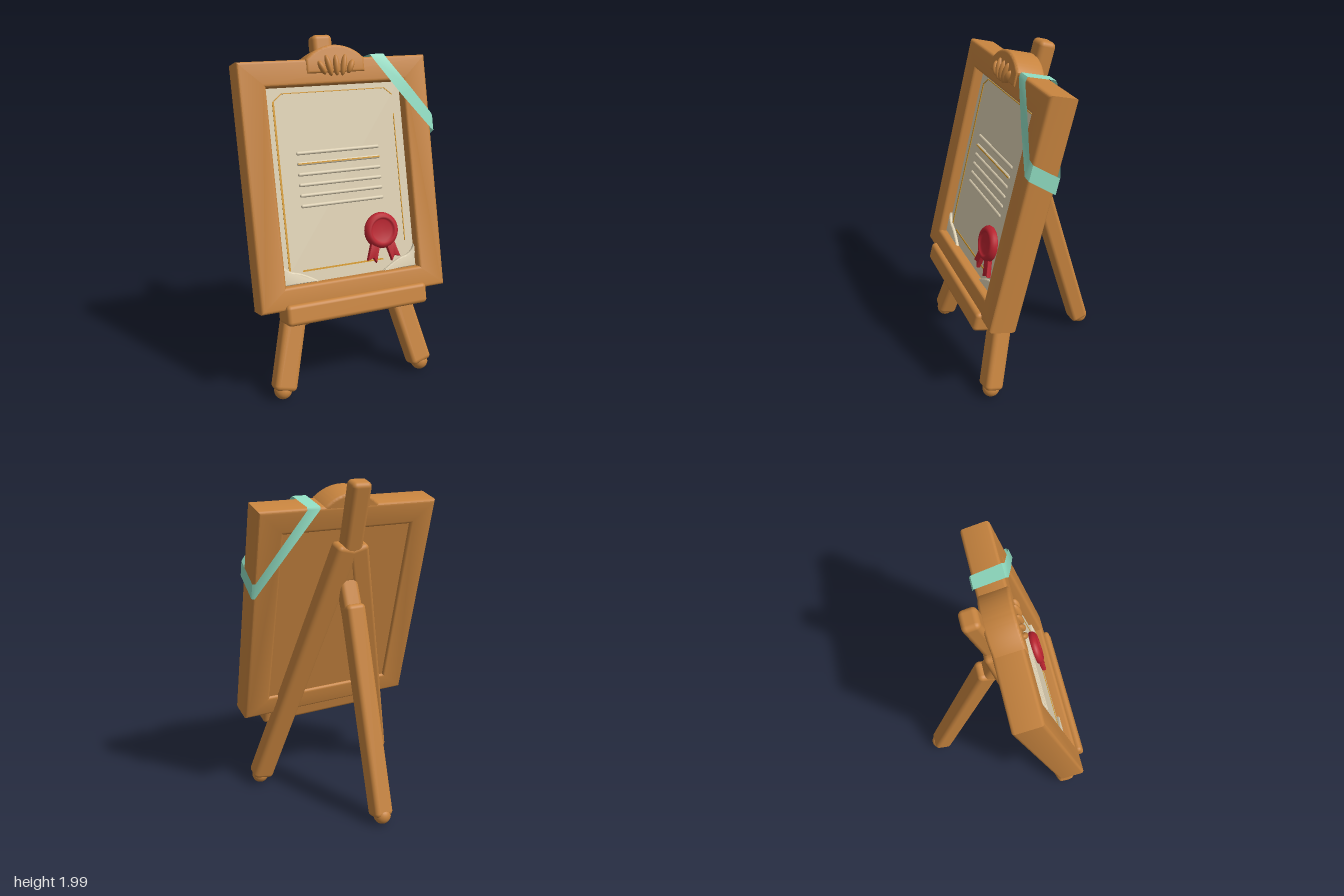
import * as THREE from 'three';
import { toCreasedNormals } from 'three/addons/utils/BufferGeometryUtils.js';
import { RoundedBoxGeometry } from 'three/addons/geometries/RoundedBoxGeometry.js';

const material = (name, color, side = THREE.FrontSide) => {
  const m = new THREE.MeshStandardMaterial({ color, side });
  m.name = name;
  return m;
};

export function createModel() {
  const wood = material('wood', 0xc6833e);
  const paper = material('paper', 0xdbceb1);
  const gold = material('gold', 0xd59a2c);
  const red = material('sealRed', 0xb9232f);
  const mint = material('ribbonMint', 0x8fdbc0, THREE.DoubleSide);

  const model = new THREE.Group();
  model.name = 'certificateEasel';
  const CX = -0.008;

  const add = (parent, name, geometry, mat, x = 0, y = 0, z = 0) => {
    const mesh = new THREE.Mesh(geometry, mat);
    mesh.name = name;
    mesh.position.set(x, y, z);
    parent.add(mesh);
    return mesh;
  };
  // Extruded outline from back to front, with bevels kept inside the outline
  const slab = (shape, back, front, bevel) => {
    const g = new THREE.ExtrudeGeometry(shape, {
      depth: front - back - 2 * bevel, bevelEnabled: bevel > 0, bevelThickness: bevel,
      bevelSize: bevel, bevelOffset: -bevel, bevelSegments: 3, curveSegments: 24,
    });
    g.translate(0, 0, back + bevel);
    return toCreasedNormals(g, 0.6);
  };
  const polygon = (pts) => new THREE.Shape(pts.map(([x, y]) => new THREE.Vector2(x, y)));
  const rect = (x0, y0, x1, y1) => polygon([[x0, y0], [x1, y0], [x1, y1], [x0, y1]]);

  // Rounded bar running between two points
  const bar = (name, from, to, width, depth) => {
    const a = new THREE.Vector3(...from), b = new THREE.Vector3(...to);
    const dir = b.clone().sub(a);
    const length = dir.length();
    dir.normalize();
    const side = new THREE.Vector3(1, 0, 0).addScaledVector(dir, -dir.x).normalize();
    const normal = side.clone().cross(dir);
    const mesh = add(model, name, new RoundedBoxGeometry(width, length, depth, 3, 0.028), wood);
    mesh.quaternion.setFromRotationMatrix(new THREE.Matrix4().makeBasis(side, dir, normal));
    mesh.position.copy(a).add(b).multiplyScalar(0.5);
  };
  const foot = (name, x, z) => {
    add(model, name, new THREE.SphereGeometry(0.052, 20, 14), wood, x, 0.054, z);
  };

  // Easel: two front legs, top post, bent rear leg
  for (const s of [-1, 1]) {
    const label = s > 0 ? 'left' : 'right';
    bar(label + 'FrontLeg', [CX + s * 0.44, 0.055, 0.39], [CX + s * 0.03, 1.62, -0.04], 0.135, 0.112);
    foot(label + 'FrontFoot', CX + s * 0.443, 0.388);
  }
  bar('topPost', [CX, 1.4, 0.02], [CX, 1.987, -0.145], 0.122, 0.1);
  bar('rearLeg', [CX, 0.045, -0.418], [CX, 1.27, -0.063], 0.122, 0.115);
  bar('rearLegTop', [CX, 1.14, -0.09], [CX, 1.42, 0.02], 0.118, 0.09);
  foot('rearFoot', CX, -0.43);

  // Everything on the leaning frame
  const board = new THREE.Group();
  board.name = 'leaningBoard';
  board.position.set(CX, 1.2025, 0.1825);
  board.rotation.x = -0.256;
  model.add(board);

  const frame = rect(-0.568, -0.682, 0.568, 0.682);
  frame.holes.push(rect(-0.413, -0.552, 0.413, 0.539));
  add(board, 'frame', slab(frame, -0.0825, 0.0825, 0.018), wood);
  add(board, 'backPanel', new THREE.BoxGeometry(0.86, 1.12, 0.06), wood, 0, 0, -0.036);
  add(board, 'ledge', new RoundedBoxGeometry(0.865, 0.118, 0.178, 3, 0.024), wood, 0, -0.707, 0.022);

  // Arched crest with a carved fan
  const crest = new THREE.Shape();
  crest.moveTo(-0.175, 0.6);
  crest.lineTo(0.175, 0.6);
  crest.absarc(0, 0.515, 0.24, 0.754, Math.PI - 0.754, false);
  add(board, 'crest', slab(crest, -0.08, 0.092, 0.016), wood);
  const carving = new THREE.Group();
  carving.name = 'crestCarving';
  board.add(carving);
  for (const [x, y, turn, h] of [[0, 0.64, 0, 0.058], [0.045, 0.64, -0.22, 0.06], [0.086, 0.63, -0.45, 0.042]]) {
    for (const s of x ? [-1, 1] : [1]) {
      const petal = add(carving, 'petal', new THREE.SphereGeometry(1, 16, 10), wood, s * x, y, 0.092);
      petal.scale.set(0.018, h, 0.022);
      petal.rotation.z = s * turn;
    }
  }

  // Certificate sheet with curled bottom corners
  const W = 0.02;
  add(board, 'sheet', new THREE.BoxGeometry(0.826, 1.091, 0.014), paper, 0, -0.0065, W - 0.007);
  for (const s of [-1, 1]) {
    const curl = new THREE.Shape();
    curl.moveTo(s * 0.412, -0.42);
    curl.quadraticCurveTo(s * 0.395, -0.475, s * 0.33, -0.485);
    curl.quadraticCurveTo(s * 0.28, -0.5, s * 0.2, -0.551);
    curl.lineTo(s * 0.412, -0.551);
    add(board, 'curledCorner', slab(curl, W - 0.005, W + 0.018, 0.008), paper);
  }

  // Embossed text lines
  for (let i = 0; i < 6; i++) {
    const y = 0.173 - i * 0.0592;
    const line = add(board, 'embossedLine', new THREE.CapsuleGeometry(0.011, 0.49, 4, 10), paper, -0.007, y, W - 0.002);
    line.rotation.z = Math.PI / 2;
  }
  add(board, 'goldLine', new THREE.BoxGeometry(0.5, 0.007, 0.006), gold, -0.007, 0.1138, W + 0.008);

  // Gold border
  const borders = [
    [-0.366, -0.003, 0.011, 0.94], [0.362, -0.02, 0.005, 0.75],
    [0, 0.507, 0.62, 0.005], [-0.04, -0.484, 0.5, 0.009],
  ];
  for (const [x, y, w, h] of borders) {
    add(board, 'goldBorder', new THREE.BoxGeometry(w, h, 0.005), gold, x, y, W + 0.001);
  }
  for (const s of [-1, 1]) {
    const corner = add(board, 'goldCorner', new THREE.BoxGeometry(0.065, 0.005, 0.005), gold, s * 0.338, 0.487, W + 0.001);
    corner.rotation.z = -s * 0.7;
  }

  // Wax seal with two notched tails
  const seal = new THREE.Group();
  seal.name = 'seal';
  seal.position.set(0.208, -0.315, W);
  board.add(seal);
  const profile = [[0, 0.028], [0.062, 0.028], [0.07, 0.04], [0.08, 0.044], [0.093, 0.038], [0.104, 0.024], [0.106, 0.01], [0.1, 0]];
  const disc = new THREE.LatheGeometry(profile.reverse().map(([x, y]) => new THREE.Vector2(x, y)), 48);
  disc.rotateX(Math.PI / 2);
  add(seal, 'sealDisc', disc, red);
  for (const s of [-1, 1]) {
    const tail = polygon([[s * 0.012, -0.06], [s * 0.07, -0.06], [s * 0.105, -0.165], [s * 0.068, -0.155], [s * 0.05, -0.185]]);
    add(seal, 'sealTail', slab(tail, 0, 0.028, 0.006), red);
  }

  // Ribbon looped around the upper left corner: pairs of edge points
  const loop = [
    [[0.215, 0.694, 0.088], [0.3, 0.694, 0.088]],
    [[0.225, 0.668, 0.1], [0.31, 0.668, 0.1]],
    [[0.38, 0.462, 0.102], [0.452, 0.488, 0.102]],
    [[0.555, 0.25, 0.104], [0.56, 0.345, 0.104]],
    [[0.581, 0.235, 0.088], [0.581, 0.325, 0.088]],
    [[0.581, 0.172, -0.084], [0.581, 0.265, -0.084]],
    [[0.565, 0.172, -0.094], [0.565, 0.268, -0.094]],
    [[0.21, 0.68, -0.094], [0.29, 0.68, -0.094]],
    [[0.21, 0.694, -0.084], [0.29, 0.694, -0.084]],
  ];
  const verts = [];
  loop.forEach(([a, b], i) => {
    const [c, d] = loop[(i + 1) % loop.length];
    for (const p of [a, c, d, a, d, b]) verts.push(...p);
  });
  const strip = new THREE.BufferGeometry();
  strip.setAttribute('position', new THREE.Float32BufferAttribute(verts, 3));
  add(board, 'cornerRibbon', toCreasedNormals(strip, 0.9), mint);

  return model;
}
